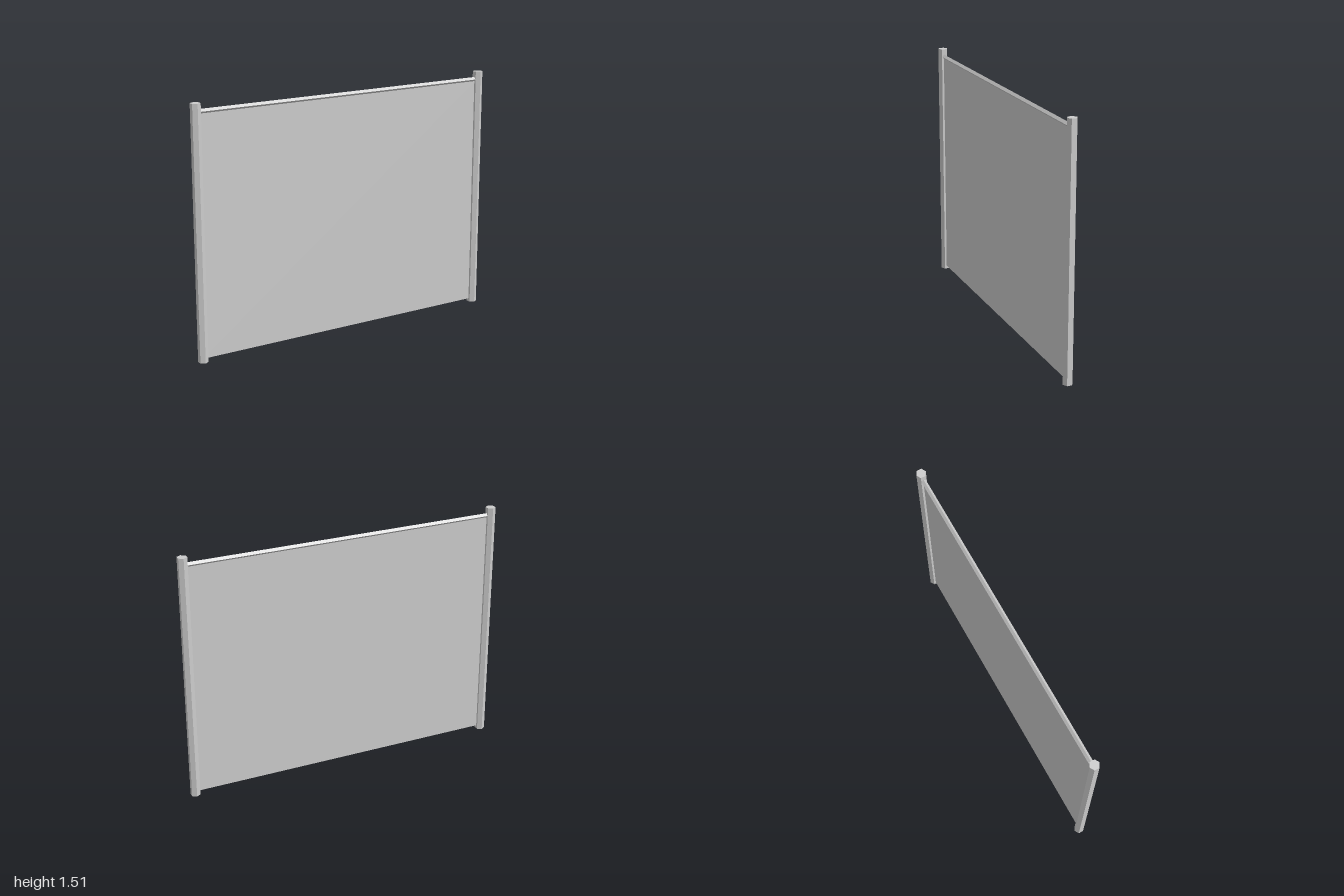
import * as THREE from 'three';

export function createModel() {
  const group = new THREE.Group();
  const grey = new THREE.MeshStandardMaterial({ color: 0xcccccc, flatShading: true });
  grey.name = 'light grey';

  const add = (name, geometry, x, y) => {
    const mesh = new THREE.Mesh(geometry, grey);
    mesh.name = name;
    mesh.position.set(x, y, 0);
    group.add(mesh);
  };

  const postHeight = 1.51;
  const postRadius = 0.03;
  const postX = 0.974;

  // Hexagonal posts with a ridge facing front and back
  for (const [name, side] of [['leftPost', 1], ['rightPost', -1]]) {
    add(name, new THREE.CylinderGeometry(postRadius, postRadius, postHeight, 6), side * postX, postHeight / 2);
  }

  // Four-sided top rail, set on edge between the posts
  const rail = new THREE.CylinderGeometry(0.014, 0.014, postX * 2, 4).rotateZ(Math.PI / 2);
  add('topRail', rail, 0, 1.461);

  // Thin infill panel hanging from the rail
  const bottom = 0.02;
  const top = 1.461;
  add('panel', new THREE.BoxGeometry(postX * 2, top - bottom, 0.005), 0, (top + bottom) / 2);

  return group;
}
